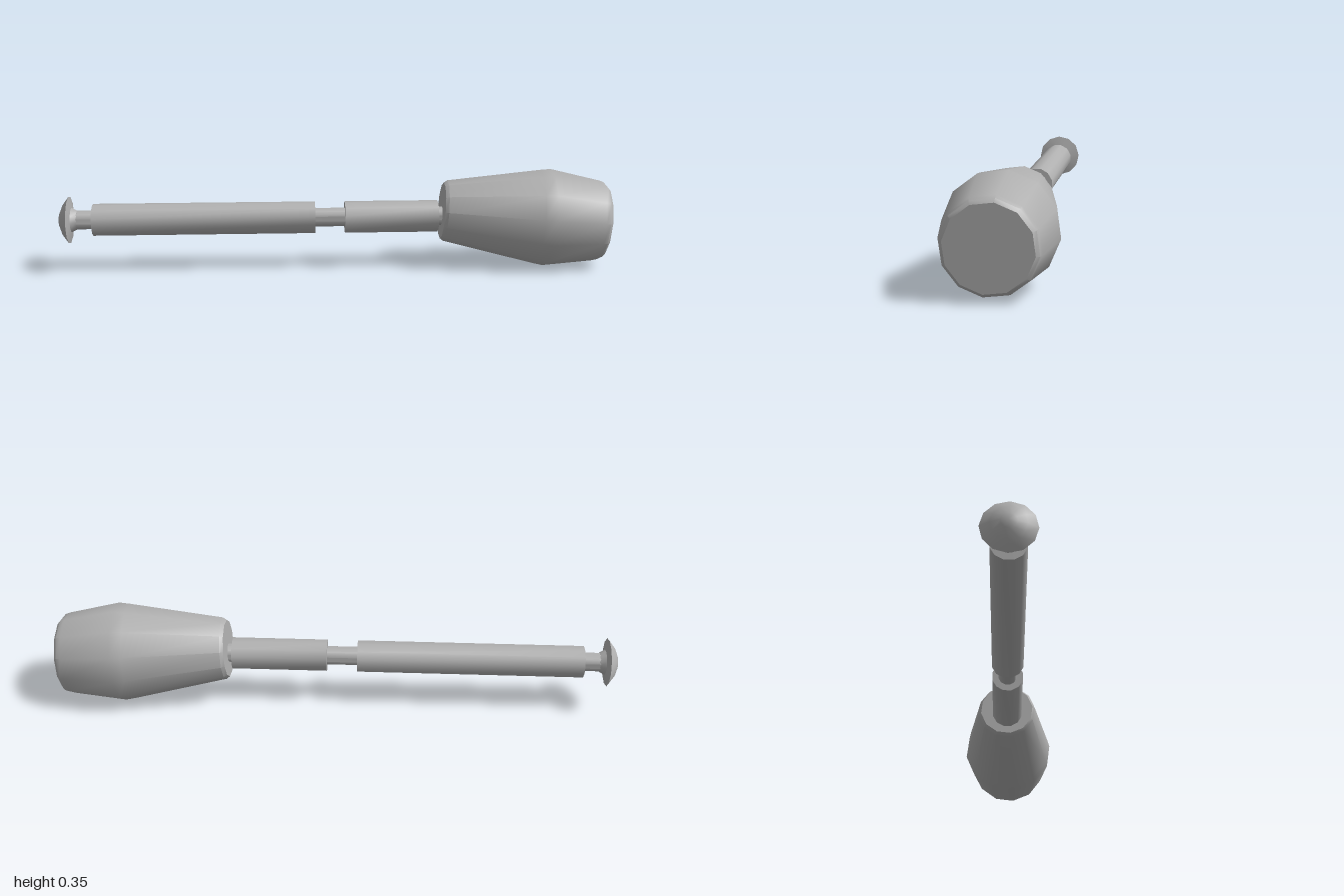
import * as THREE from 'three';
import { toCreasedNormals } from 'three/addons/utils/BufferGeometryUtils.js';

const grey = new THREE.MeshStandardMaterial({ color: 0xb0b0b0 });
grey.name = 'grey';

// Twelve-sided turned part along +x; profile is a list of [distance, radius]
function turned(name, profile, twistDegrees) {
  const points = profile.map(([s, r]) => new THREE.Vector2(r, s));
  const lathe = new THREE.LatheGeometry(points, 12, THREE.MathUtils.degToRad(twistDegrees));
  lathe.rotateZ(-Math.PI / 2);
  const mesh = new THREE.Mesh(toCreasedNormals(lathe, 0.62), grey);
  mesh.name = name;
  return mesh;
}

// Closed cylinder profile
const rod = (from, to, radius) => [[from, 0], [from, radius], [to, radius], [to, 0]];

export function createModel() {
  const model = new THREE.Group();
  model.name = 'mallet';

  // Shaft assembly, swung slightly towards the front
  const shaft = new THREE.Group();
  shaft.name = 'shaft';
  shaft.position.set(0, 0.187, -0.0365);
  shaft.rotation.y = -0.1245;
  shaft.add(
    turned('handle', rod(-0.88, -0.076, 0.058), 15),
    turned('foreShaft', rod(0.033, 0.374, 0.058), 15),
    turned('core', rod(-0.95, 0.43, 0.034), 15),
    // Domed end knob with a flared underside
    turned('knob', [
      [-1.005, 0], [-1.0, 0.025], [-0.988, 0.055], [-0.965, 0.086],
      [-0.957, 0.045], [-0.937, 0.034], [-0.937, 0],
    ], 2),
  );
  model.add(shaft);

  // Barrel head, tipped a little downwards from the shaft line
  const head = turned('head', [
    [0, 0], [0, 0.103], [0.012, 0.112], [0.35, 0.173], [0.39, 0.179],
    [0.575, 0.149], [0.592, 0.144], [0.602, 0.133], [0.602, 0],
  ], -7.7);
  head.position.set(0.388, 0.207, 0.01);
  head.quaternion.setFromUnitVectors(
    new THREE.Vector3(1, 0, 0),
    new THREE.Vector3(0.594, -0.045, 0.085).normalize(),
  );
  model.add(head);

  return model;
}
